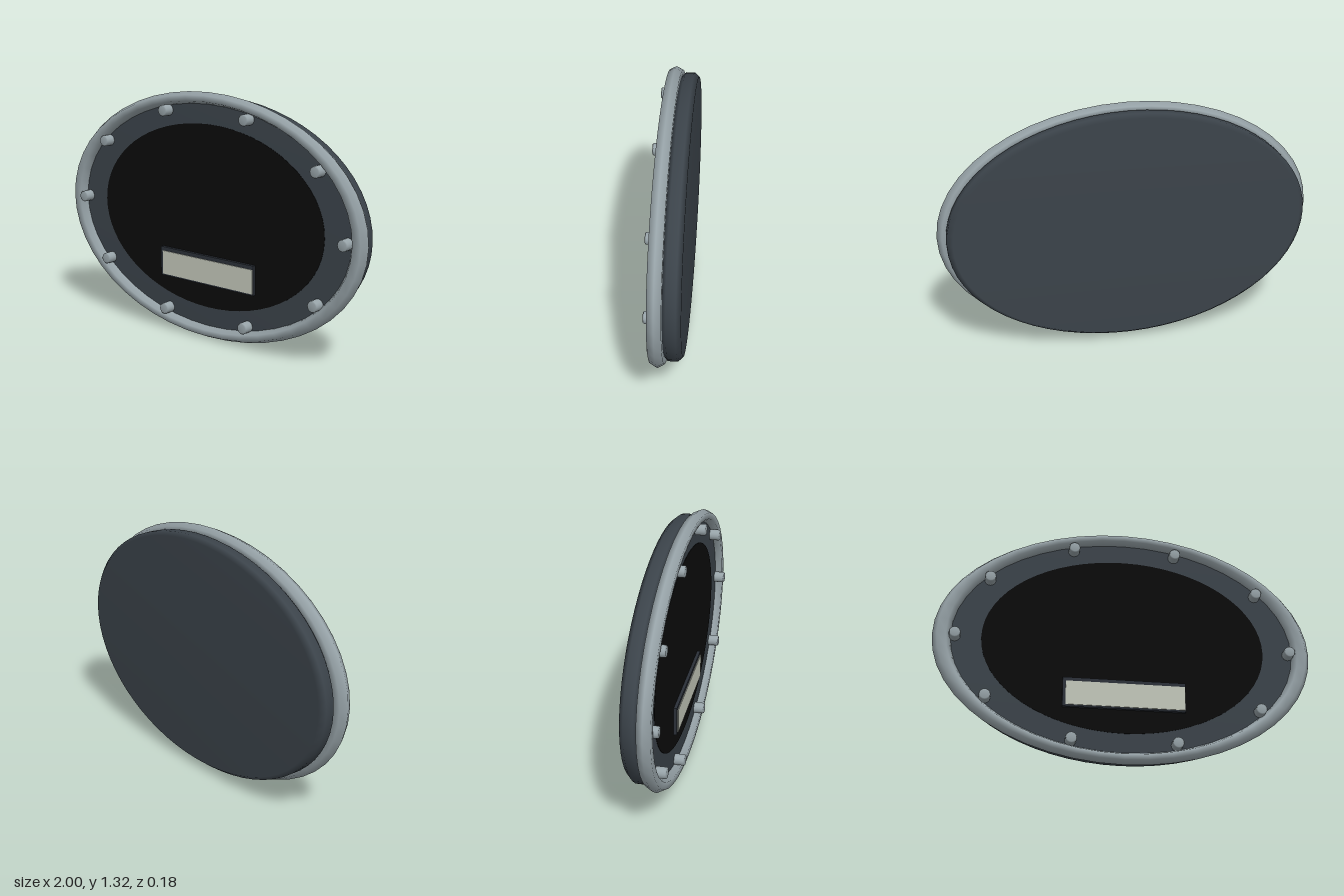
import * as THREE from 'three';

const SQUASH = 0.661; // height to width ratio of the oval
const mat = (name, color) => {
  const m = new THREE.MeshStandardMaterial({ color });
  m.name = name;
  return m;
};

export function createModel() {
  const group = new THREE.Group();
  const steel = mat('steel grey', 0x97a3a8);
  const slate = mat('dark slate', 0x3b434a);
  const black = mat('glossy black', 0x0b0b0b);
  const frame = mat('display frame', 0x2b3038);
  const pale = mat('display pale green', 0xc3c7ba);

  const add = (name, geometry, material, x = 0, y = 0, z = 0) => {
    const mesh = new THREE.Mesh(geometry, material);
    mesh.name = name;
    mesh.position.set(x, y, z);
    group.add(mesh);
    return mesh;
  };
  // Turned profile of [radius, depth] pairs, its axis along z
  const turned = (points, sides) => new THREE.LatheGeometry(
    points.map(([r, d]) => new THREE.Vector2(r, d)), sides).rotateX(Math.PI / 2);
  const oval = (geometry) => geometry.scale(1, SQUASH, 1);
  const cy = SQUASH;

  // Bevelled back body
  add('body', oval(turned([[0, -0.09], [0.928, -0.09], [0.957, -0.066],
    [0.957, -0.018], [0.928, 0.006], [0, 0.006]], 64)), slate, 0, cy);

  // Front plate inside the rim, with softly rounded shading
  add('frontPlate', oval(turned([[0.93, 0.004], [0.93, 0.02], [0.91, 0.035], [0, 0.035]], 64)), slate, 0, cy);

  // Six-sided rim, smooth shaded
  const rim = new THREE.TorusGeometry(0.9525, 0.0475, 6, 48);
  add('rim', oval(rim.scale(1, 1, 0.85)), steel, 0, cy, 0.035);

  // Black weighing surface
  add('blackPanel', oval(turned([[0.747, 0.034], [0.747, 0.039], [0, 0.039]], 64)), black, 0, cy);

  // Display
  add('displayFrame', new THREE.BoxGeometry(0.64, 0.16, 0.02), frame, 0, 0.375, 0.046);
  add('displayScreen', new THREE.BoxGeometry(0.622, 0.13, 0.006), pale, 0.007, 0.369, 0.057);

  // Ten round-topped studs along the rim
  const stud = turned([[0.03, 0.03], [0.03, 0.086], [0.025, 0.092], [0, 0.092]], 16);
  for (let i = 0; i < 10; i++) {
    const a = (i / 10) * Math.PI * 2;
    add('stud', stud, steel, 0.884 * Math.cos(a), cy + 0.573 * Math.sin(a));
  }
  return group;
}
